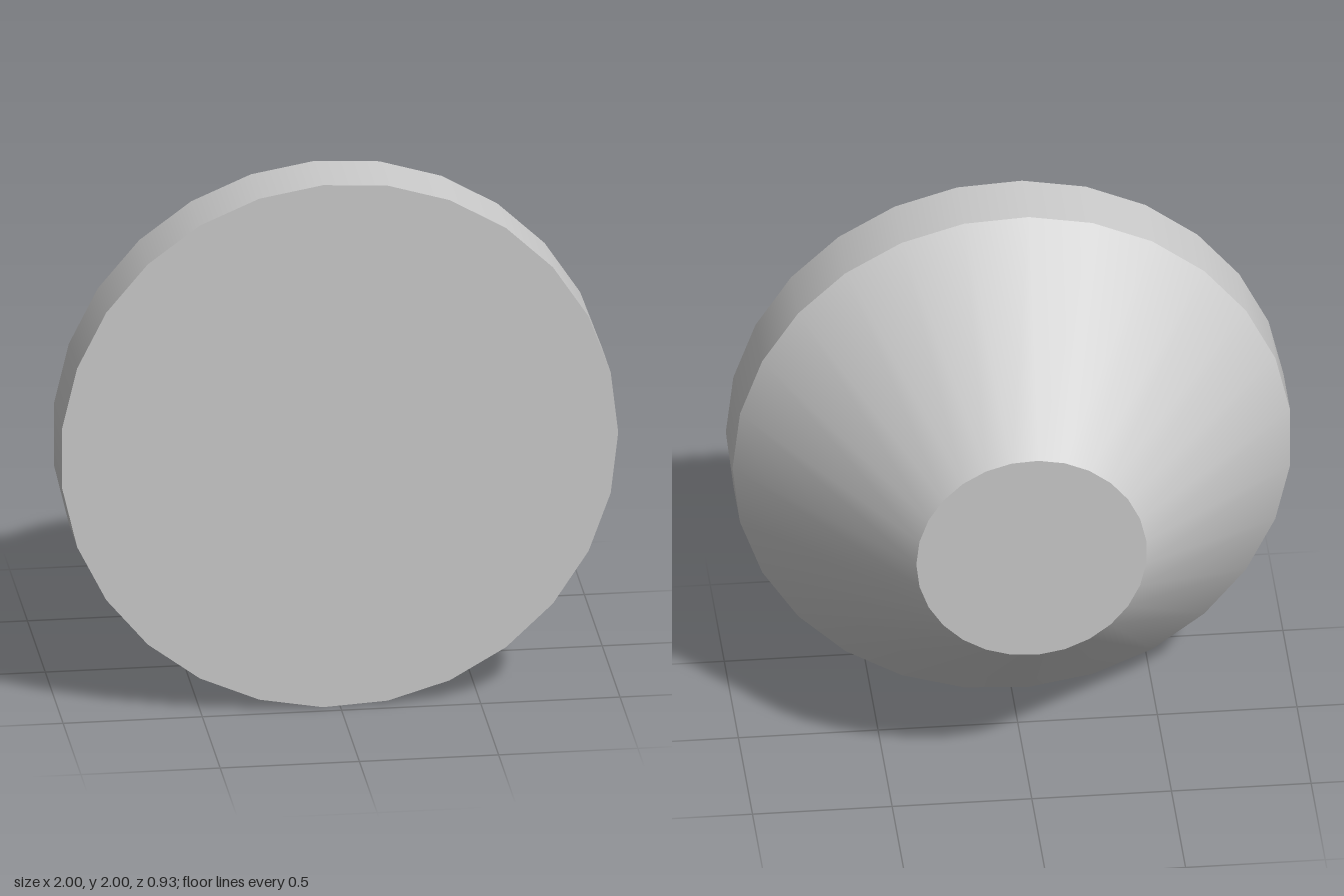
import * as THREE from 'three';

const SIDES = 27;
const R = 1.0017; // rim radius
const R_BACK = 0.413; // small back face radius
const Z_FRONT = 0.463, Z_JOINT = 0.225, Z_BACK = -0.463;

export function createModel() {
  const group = new THREE.Group();
  group.name = 'taperedDisc';
  const material = new THREE.MeshStandardMaterial({ color: 0xcccccc });

  const add = (name, geometry, z) => {
    const mesh = new THREE.Mesh(geometry, material);
    mesh.name = name;
    // an odd side count puts a corner at +x, so shift slightly to centre it
    mesh.position.set(-0.0034, 1, z);
    group.add(mesh);
  };

  // open wall running along z, smooth around, with a corner at +x
  const wall = (name, rFront, rBack, z0, z1) => {
    const g = new THREE.CylinderGeometry(rFront, rBack, z0 - z1, SIDES, 1, true, Math.PI / 2);
    add(name, g.rotateX(Math.PI / 2), (z0 + z1) / 2);
  };

  wall('rim', R, R, Z_FRONT, Z_JOINT);
  wall('cone', R, R_BACK, Z_JOINT, Z_BACK);

  // flat end faces
  add('frontFace', new THREE.CircleGeometry(R, SIDES), Z_FRONT);
  add('backFace', new THREE.CircleGeometry(R_BACK, SIDES).rotateX(Math.PI), Z_BACK);

  return group;
}
